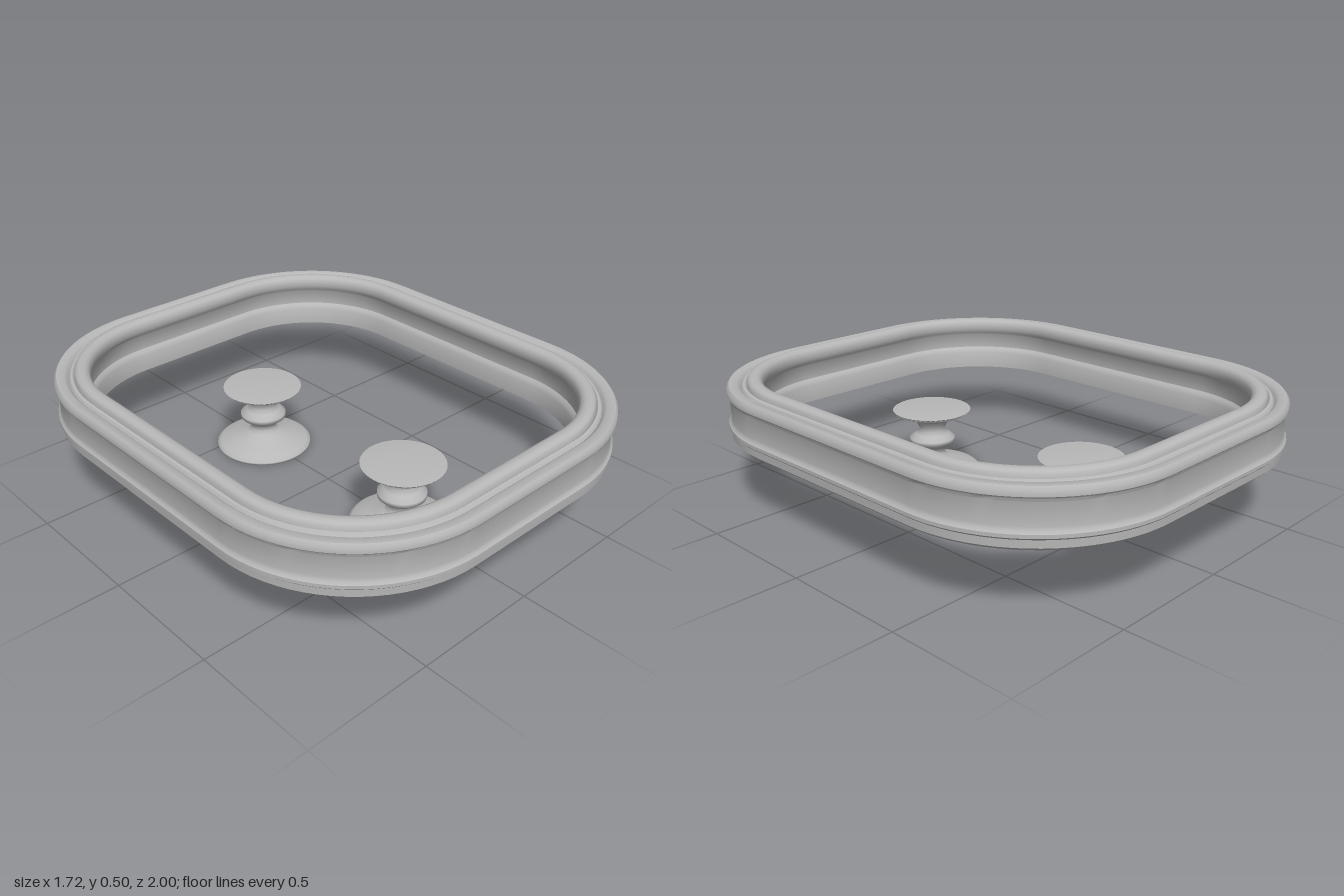
import * as THREE from 'three';
import { toCreasedNormals } from 'three/addons/utils/BufferGeometryUtils.js';

// Sweep a closed [radius, height] profile round a rounded rectangle
function sweepFrame(profile, cx, cz, steps) {
  const pos = [], index = [], n = profile.length;
  const corners = [[1, 1], [-1, 1], [-1, -1], [1, -1]];
  corners.forEach(([sx, sz], k) => {
    for (let s = 0; s <= steps; s++) {
      const a = (k + s / steps) * Math.PI / 2;
      for (const [r, y] of profile) {
        pos.push(sx * cx + r * Math.cos(a), y, sz * cz + r * Math.sin(a));
      }
    }
  });
  const rows = 4 * (steps + 1);
  for (let i = 0; i < rows; i++) {
    const i2 = (i + 1) % rows;
    for (let j = 0; j < n; j++) {
      const j2 = (j + 1) % n;
      const a = i * n + j, b = i * n + j2, c = i2 * n + j, d = i2 * n + j2;
      index.push(a, b, c, b, d, c);
    }
  }
  const g = new THREE.BufferGeometry();
  g.setAttribute('position', new THREE.Float32BufferAttribute(pos, 3));
  g.setIndex(index);
  return toCreasedNormals(g, 0.7);
}

export function createModel() {
  const model = new THREE.Group();
  const grey = new THREE.MeshStandardMaterial({ color: 0xb8b8b8 });
  grey.name = 'grey';

  // Moulded frame: outer wall, rim, groove, raised lip, inner wall
  const profile = [
    [0.562, 0.27], [0.572, 0.28], [0.573, 0.308], [0.58, 0.315], [0.58, 0.328], [0.572, 0.337],
    [0.57, 0.35], [0.57, 0.43], [0.573, 0.44], [0.58, 0.448], [0.58, 0.468], [0.57, 0.48],
    [0.54, 0.48], [0.53, 0.472], [0.524, 0.465], [0.518, 0.474], [0.508, 0.476], [0.502, 0.47],
    [0.5, 0.485], [0.494, 0.495], [0.482, 0.5], [0.462, 0.5], [0.448, 0.493], [0.44, 0.478],
    [0.44, 0.455], [0.447, 0.437], [0.457, 0.425], [0.457, 0.365], [0.448, 0.355], [0.44, 0.34],
    [0.44, 0.27],
  ];
  const frame = new THREE.Mesh(sweepFrame(profile, 0.28, 0.42, 20), grey);
  frame.name = 'frame';
  model.add(frame);

  // Two turned pedestals
  const turned = [
    [0, 0], [0.2, 0], [0.2, 0.008], [0.185, 0.02], [0.13, 0.04], [0.065, 0.062], [0.056, 0.08],
    [0.053, 0.097], [0.07, 0.112], [0.095, 0.13], [0.095, 0.147], [0.07, 0.165], [0.053, 0.18],
    [0.06, 0.205], [0.075, 0.232], [0.12, 0.245], [0.15, 0.257], [0.163, 0.27], [0, 0.27],
  ].map(([r, y]) => new THREE.Vector2(r, y));
  const pedestalGeometry = new THREE.LatheGeometry(turned, 48);
  for (const [name, z] of [['frontPedestal', 0.41], ['backPedestal', -0.41]]) {
    const pedestal = new THREE.Mesh(pedestalGeometry, grey);
    pedestal.name = name;
    pedestal.position.z = z;
    model.add(pedestal);
  }
  return model;
}
